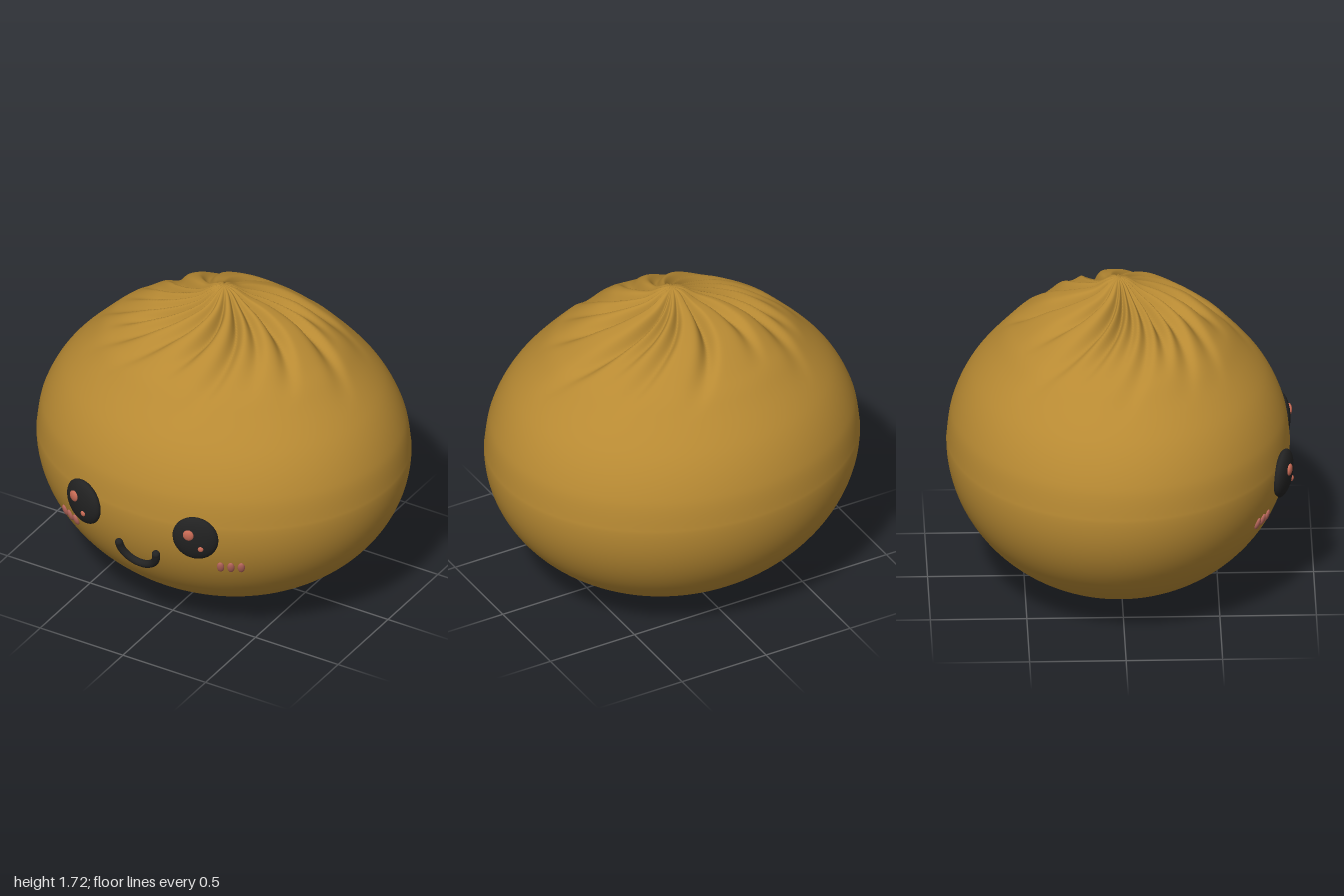
import * as THREE from 'three';
import { mergeVertices } from 'three/addons/utils/BufferGeometryUtils.js';

const DEPTH = 0.89, BACK = -0.013, MID = 0.79;

// Point on the lower front of the body, lifted a little along its normal
function onBody(x, y, lift = 0) {
  const k = Math.sqrt(1 - x * x - ((y - MID) / MID) ** 2);
  const normal = new THREE.Vector3(x, (y - MID) / (MID * MID), k / DEPTH).normalize();
  const point = new THREE.Vector3(x, y, DEPTH * k + BACK).addScaledVector(normal, lift);
  return { point, normal };
}

// Group sitting on the body with its +z pointing outward
function mount(name, x, y, lift) {
  const g = new THREE.Group();
  const { point, normal } = onBody(x, y, lift);
  g.name = name;
  g.position.copy(point);
  g.lookAt(point.clone().add(normal));
  return g;
}

function ellipsoid(name, rx, ry, rz, material, x = 0, y = 0, z = 0) {
  const m = new THREE.Mesh(new THREE.SphereGeometry(1, 32, 20), material);
  m.name = name;
  m.scale.set(rx, ry, rz);
  m.position.set(x, y, z);
  return m;
}

// Round dumpling body with swirling pleats gathered at the top
function bodyGeometry() {
  const points = [];
  for (let i = 0; i < 32; i++) {
    const a = (i / 32) * Math.PI / 2;
    points.push(new THREE.Vector2(Math.sin(a), MID - MID * Math.cos(a)));
  }
  const upper = new THREE.SplineCurve([
    [1, 0.79], [0.97, 0.97], [0.872, 1.16], [0.69, 1.355], [0.57, 1.445], [0.43, 1.53],
    [0.32, 1.578], [0.15, 1.645], [0.06, 1.705], [0, 1.722],
  ].map(([r, y]) => new THREE.Vector2(r, y)));
  points.push(...upper.getSpacedPoints(80));
  points[points.length - 1].x = 0;
  let geo = new THREE.LatheGeometry(points, 320);

  // Pleat directions in degrees, measured from +x towards +z at radius 0.65
  const pleats = [-76, -42, -22, -6, 29, 52, 72, 98, 122, 142, 158, 173, 188, 204, 220, 248];
  const smooth = THREE.MathUtils.smoothstep;
  const pos = geo.attributes.position, nor = geo.attributes.normal;
  const p = new THREE.Vector3(), n = new THREE.Vector3();
  for (let i = 0; i < pos.count; i++) {
    p.fromBufferAttribute(pos, i);
    n.fromBufferAttribute(nor, i);
    const r = Math.hypot(p.x, p.z);
    if (p.y > MID && r > 1e-4) {
      const angle = Math.atan2(p.z, p.x) - 1.15 * (r - 0.65);
      let groove = 0;
      pleats.forEach((deg, k) => {
        let d = angle - THREE.MathUtils.degToRad(deg);
        d = Math.atan2(Math.sin(d), Math.cos(d));
        const width = d < 0 ? 0.075 : 0.12;
        const reach = 0.74 + 0.1 * Math.sin(k * 2.4);
        const fade = 1 - smooth(r, 0.3, reach);
        groove += (0.85 + 0.2 * Math.cos(k * 1.9)) * fade * Math.exp(-((d / width) ** 2));
      });
      const rise = smooth(r, 0, 0.26);
      const swell = 0.022 * (1 - smooth(r, 0.35, 0.75));
      p.addScaledVector(n, rise * (swell - 0.068 * groove));
    }
    pos.setXYZ(i, p.x, p.y, p.z * DEPTH + BACK);
  }
  geo.deleteAttribute('uv');
  geo.deleteAttribute('normal');
  geo = mergeVertices(geo, 1e-5);
  geo.computeVertexNormals();
  return geo;
}

export function createModel() {
  const material = (name, color) => {
    const m = new THREE.MeshStandardMaterial({ color });
    m.name = name;
    return m;
  };
  const dough = material('golden dough', 0xb88a33);
  const black = material('black', 0x222222);
  const shine = material('salmon', 0xc86a55);
  const pink = material('blush pink', 0xb5655a);

  const model = new THREE.Group();
  model.name = 'dumpling';
  const body = new THREE.Mesh(bodyGeometry(), dough);
  body.name = 'body';
  model.add(body);

  for (const side of [-1, 1]) {
    const label = side > 0 ? 'left' : 'right';

    // Eye with two highlights, both placed the same way round
    const eye = mount(label + 'Eye', side * 0.335, 0.745, 0.008);
    eye.add(
      ellipsoid('pupil', 0.122, 0.129, 0.045, black),
      ellipsoid('largeHighlight', 0.029, 0.032, 0.014, shine, -0.028, 0.04, 0.041),
      ellipsoid('smallHighlight', 0.015, 0.016, 0.01, shine, 0.036, -0.04, 0.04),
    );
    model.add(eye);

    // Three blush marks on the cheek
    for (const x of [0.435, 0.483, 0.53]) {
      const mark = mount(label + 'Blush', side * x, 0.55, 0.003);
      mark.add(ellipsoid('blushMark', 0.019, 0.036, 0.013, pink));
      model.add(mark);
    }
  }

  // Smile following the body, with rounded ends
  const path = [];
  for (let i = 0; i <= 16; i++) {
    const a = Math.PI * (1 + i / 16);
    path.push(onBody(0.11 * Math.cos(a), 0.585 + 0.11 * Math.sin(a), 0.014).point);
  }
  const curve = new THREE.CatmullRomCurve3(path);
  const mouth = new THREE.Group();
  mouth.name = 'mouth';
  const smile = new THREE.Mesh(new THREE.TubeGeometry(curve, 48, 0.021, 14), black);
  smile.name = 'smile';
  mouth.add(smile);
  for (const e of [path[0], path[16]]) {
    mouth.add(ellipsoid('smileEnd', 0.021, 0.021, 0.021, black, e.x, e.y, e.z));
  }
  model.add(mouth);
  return model;
}
